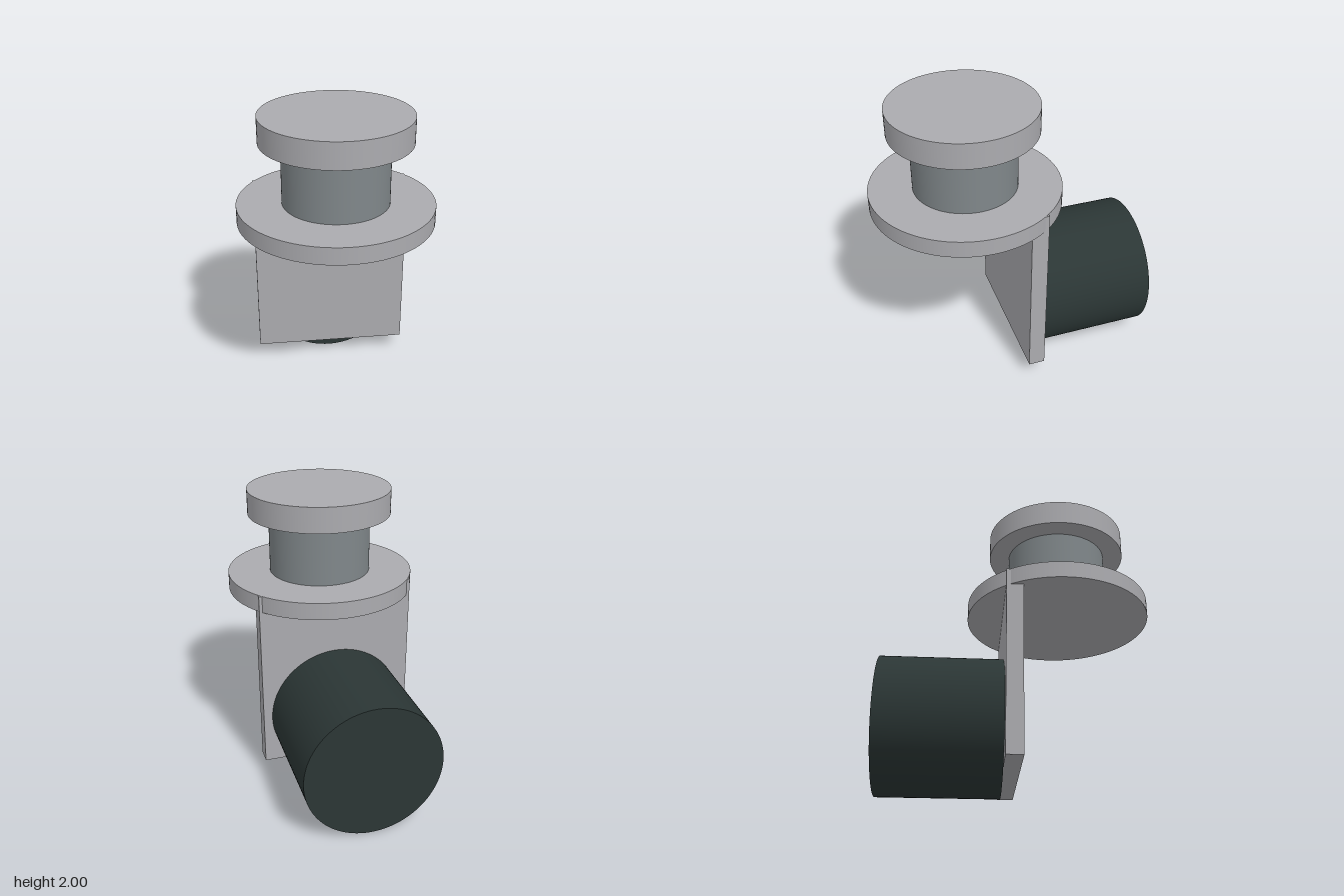
import * as THREE from 'three';

export function createModel() {
  const group = new THREE.Group();
  const material = (name, color) => {
    const m = new THREE.MeshStandardMaterial({ color });
    m.name = name;
    return m;
  };
  const lightGrey = material('light grey', 0xababaf);
  const midGrey = material('mid grey', 0x80878a);
  const darkGreen = material('dark green grey', 0x2b3635);

  const add = (name, geometry, mat, x, y, z) => {
    const mesh = new THREE.Mesh(geometry, mat);
    mesh.name = name;
    mesh.position.set(x, y, z);
    group.add(mesh);
    return mesh;
  };

  // Upright disc between two heights, on the shared spindle axis
  const axisZ = 0.29;
  const disc = (name, radius, y0, y1, mat) =>
    add(name, new THREE.CylinderGeometry(radius, radius, y1 - y0, 96), mat, 0, (y0 + y1) / 2, axisZ);

  disc('flange', 0.648, 1.295, 1.412, lightGrey);
  disc('neck', 0.353, 1.412, 1.826, midGrey);
  disc('cap', 0.495, 1.826, 2, lightGrey);

  // Mounting plate, its top corners just reaching past the flange
  add('mountingPlate', new THREE.BoxGeometry(1.064, 1.289, 0.114), lightGrey, 0, 0.7655, -0.052);

  // Horizontal drum behind the plate
  const drum = new THREE.CylinderGeometry(0.471, 0.471, 0.827, 96).rotateX(Math.PI / 2);
  add('drum', drum, darkGreen, 0, 0.471, -0.5225);

  return group;
}
